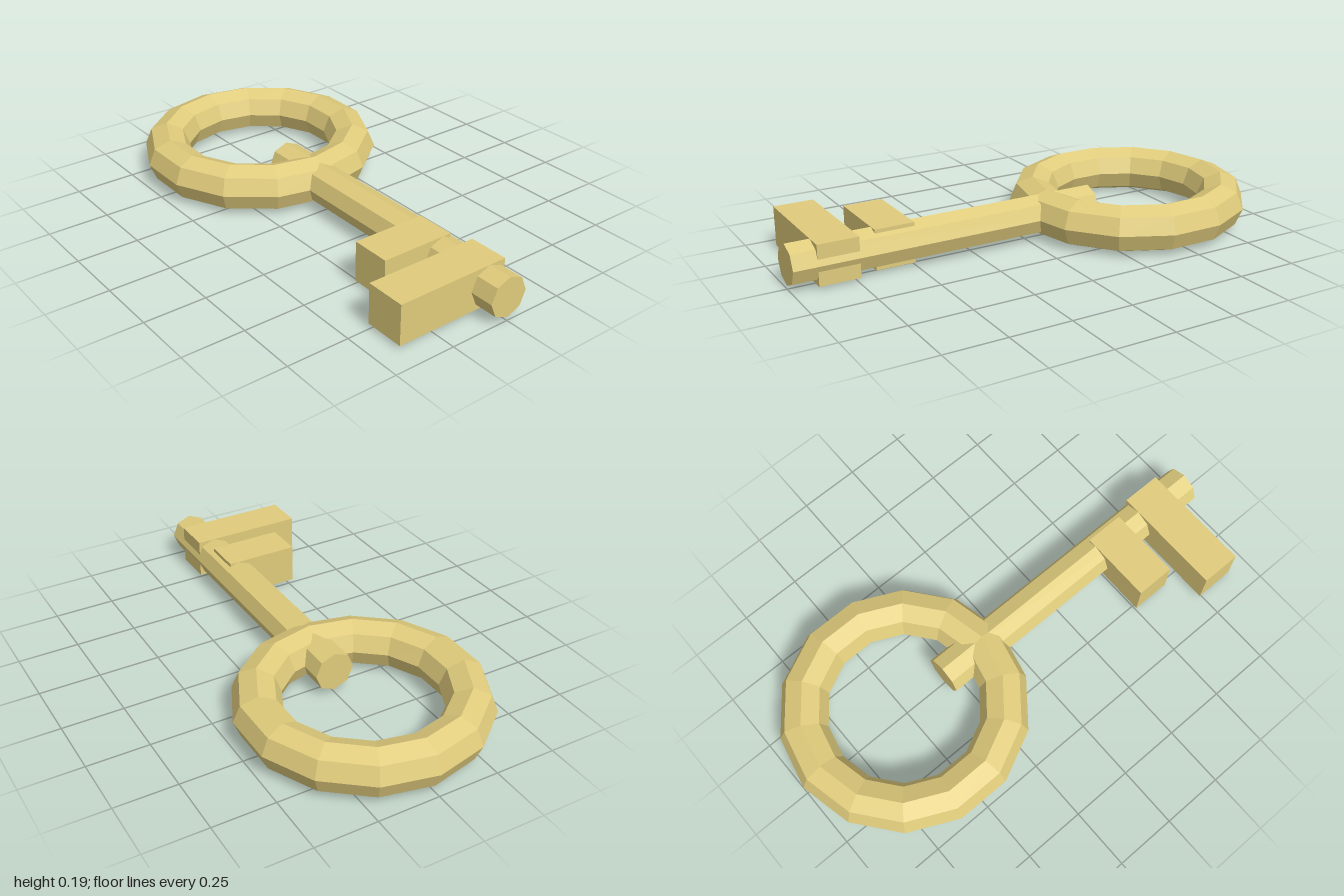
import * as THREE from 'three';

export function createModel() {
  const key = new THREE.Group();
  key.name = 'key';
  const gold = new THREE.MeshStandardMaterial({ color: 0xe0cc7c, flatShading: true });
  const midY = 0.096;

  function add(name, geometry, x, z) {
    const mesh = new THREE.Mesh(geometry, gold);
    mesh.name = name;
    mesh.position.set(x, midY, z);
    key.add(mesh);
  }

  // Bow: a flat-lying ring with an octagonal section
  add('bowRing', new THREE.TorusGeometry(0.4, 0.096, 8, 14).rotateX(Math.PI / 2), -0.504, 0);

  // Shank: octagonal rod that pokes through the ring
  add('shank', new THREE.CylinderGeometry(0.082, 0.082, 1.305, 8).rotateZ(Math.PI / 2), 0.3475, 0);

  // Bit: two teeth of different length, [name, x, width, back z, front z]
  const teeth = [
    ['shortTooth', 0.583, 0.162, -0.037, 0.27],
    ['longTooth', 0.821, 0.164, -0.072, 0.402],
  ];
  for (const [name, x, width, back, front] of teeth) {
    add(name, new THREE.BoxGeometry(width, 0.164, front - back), x, (back + front) / 2);
  }

  return key;
}
